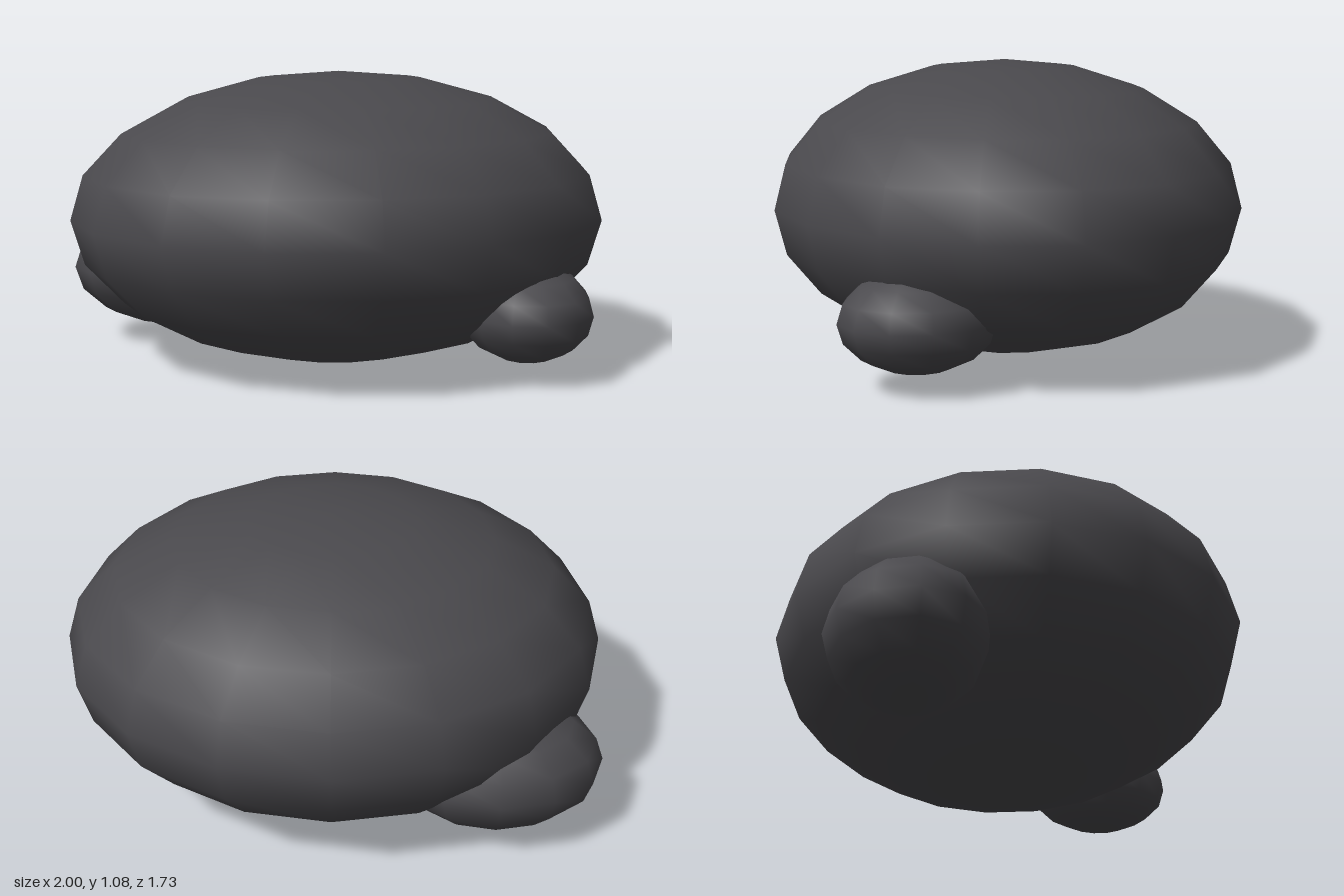
import * as THREE from 'three';

export function createModel() {
  const group = new THREE.Group();
  const charcoal = new THREE.MeshStandardMaterial({ color: 0x4a494d });
  charcoal.name = 'charcoal';

  // Smooth-shaded ellipsoid with a low segment count
  function ellipsoid(name, [rx, ry, rz], [x, y, z], around, rings) {
    const geometry = new THREE.SphereGeometry(1, around, rings).scale(rx, ry, rz);
    const mesh = new THREE.Mesh(geometry, charcoal);
    mesh.name = name;
    mesh.position.set(x, y, z);
    group.add(mesh);
  }

  // Broad flattened body
  ellipsoid('body', [1, 0.538, 0.866], [0, 0.54, 0], 16, 10);

  // Two lumps half sunk into opposite lower corners
  ellipsoid('frontLump', [0.24, 0.18, 0.277], [0.6, 0.24, 0.46], 12, 8);
  ellipsoid('backLump', [0.395, 0.235, 0.295], [-0.59, 0.29, -0.41], 12, 8);

  return group;
}
